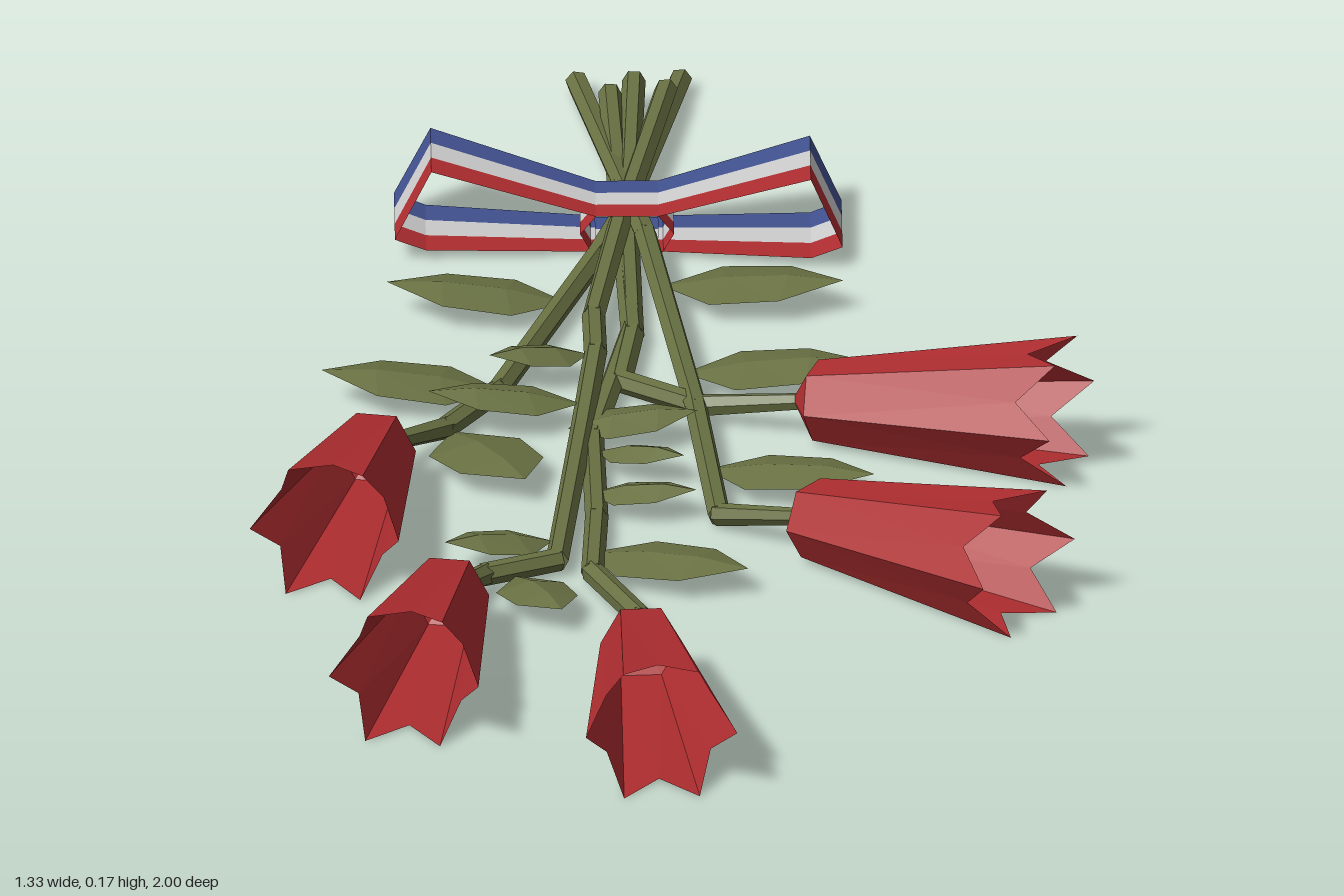
import * as THREE from 'three';

const mat = (name, color) => {
  const m = new THREE.MeshStandardMaterial({ color, side: THREE.DoubleSide, flatShading: true });
  m.name = name;
  return m;
};

// Faceted surface from a list of quads or triangles, each an array of [x, y, z]
function facets(faces) {
  const pos = [];
  for (const f of faces) {
    for (let i = 1; i < f.length - 1; i++) pos.push(...f[0], ...f[i], ...f[i + 1]);
  }
  const g = new THREE.BufferGeometry();
  g.setAttribute('position', new THREE.Float32BufferAttribute(pos, 3));
  g.computeVertexNormals();
  return g;
}

function mesh(name, geometry, material) {
  const m = new THREE.Mesh(geometry, material);
  m.name = name;
  return m;
}

// Six-sided open cup along +z with pointed petals
function flowerGeometry(length) {
  const at = (r, k, z) => [r * Math.cos(k * Math.PI / 3), r * Math.sin(k * Math.PI / 3), z];
  const faces = [];
  for (let k = 0; k < 6; k++) {
    const a = at(0.052, k, 0.03), b = at(0.052, k + 1, 0.03);
    const tipA = at(0.097, k, length), tipB = at(0.097, k + 1, length);
    const notch = at(0.077, k + 0.5, length - 0.052);
    faces.push([[0, 0, 0], b, a]);
    faces.push([a, notch, tipA], [a, b, notch], [b, tipB, notch]);
  }
  return facets(faces);
}

// Pointed leaf along +z, raised along its midrib
function leafGeometry(length, width) {
  const rib = [[0, 0, 0], [0, 0.012, length * 0.35], [0, 0.014, length * 0.7], [0, 0.006, length]];
  const faces = [];
  for (const s of [-1, 1]) {
    const e1 = [s * width * 0.46, 0, length * 0.3];
    const e2 = [s * width * 0.42, 0.002, length * 0.68];
    const list = [[rib[0], e1, rib[1]], [rib[1], e1, e2, rib[2]], [rib[2], e2, rib[3]]];
    for (const f of list) faces.push(s > 0 ? f.reverse() : f);
  }
  return facets(faces);
}

// One lengthwise stripe of a ribbon; profile points are [x, y, centre z, half width]
function stripeGeometry(profile, from, to) {
  const faces = [];
  for (let i = 0; i < profile.length - 1; i++) {
    const [x1, y1, c1, w1] = profile[i], [x2, y2, c2, w2] = profile[i + 1];
    faces.push([[x1, y1, c1 + w1 * from], [x1, y1, c1 + w1 * to], [x2, y2, c2 + w2 * to], [x2, y2, c2 + w2 * from]]);
  }
  return facets(faces);
}

// Straight six-sided rods following a list of points
function stem(points, material) {
  const g = new THREE.Group();
  g.name = 'stem';
  for (let i = 0; i < points.length - 1; i++) {
    const a = new THREE.Vector3(...points[i]), b = new THREE.Vector3(...points[i + 1]);
    const d = b.clone().sub(a), last = i === points.length - 2;
    const rod = mesh('stemSection', new THREE.CylinderGeometry(last ? 0.011 : 0.015, 0.015, d.length() + 0.006, 6), material);
    rod.position.copy(a).add(b).multiplyScalar(0.5);
    rod.quaternion.setFromUnitVectors(new THREE.Vector3(0, 1, 0), d.normalize());
    g.add(rod);
  }
  return g;
}

export function createModel() {
  const model = new THREE.Group();
  model.name = 'bouquet';
  const red = mat('red', 0xae2d30), white = mat('white', 0xcccccc), blue = mat('blue', 0x41518f);
  const green = mat('green', 0x697143);

  // Flowers: base x, z and mouth x, z
  const flowers = [
    [-0.24, -0.07, -0.475, 0.22],
    [-0.365, 0.365, -0.595, 0.665],
    [-0.225, 0.61, -0.38, 0.965],
    [0.12, 0.375, 0.282, 0.72],
    [0.285, 0.065, 0.55, 0.33],
  ];
  for (const [bx, bz, mx, mz] of flowers) {
    const f = mesh('flower', flowerGeometry(Math.hypot(mx - bx, mz - bz)), red);
    f.position.set(bx, 0.051, bz);
    f.lookAt(mx, 0.085, mz);
    model.add(f);
  }

  // Stems, from the cut end to the flower
  const stems = [
    [[0.65, 0.016, -0.935], [0.4, 0.02, -0.61], [0.3, 0.02, -0.5], [0, 0.018, -0.2], [-0.12, 0.022, -0.12], [-0.25, 0.05, -0.06]],
    [[0.6, 0.035, -0.88], [0.36, 0.036, -0.55], [0.2, 0.03, -0.32], [0.15, 0.03, -0.22], [0.03, 0.025, -0.03], [-0.18, 0.02, 0.3], [-0.285, 0.022, 0.3], [-0.375, 0.05, 0.375]],
    [[0.575, 0.036, -0.92], [0.38, 0.025, -0.57], [0.24, 0.016, -0.29], [0.04, 0.016, -0.02], [-0.07, 0.016, 0.2], [-0.155, 0.018, 0.35], [-0.17, 0.022, 0.51], [-0.23, 0.05, 0.62]],
    [[0.53, 0.016, -0.99], [0.37, 0.036, -0.5], [0.19, 0.025, -0.02], [0.07, 0.018, 0.27], [0.125, 0.05, 0.385]],
    [[0.53, 0.036, -0.9], [0.36, 0.016, -0.54], [0.23, 0.018, -0.27], [0.15, 0.018, -0.15], [0.2, 0.022, -0.03], [0.295, 0.05, 0.075]],
  ];
  for (const points of stems) model.add(stem(points, green));

  // Leaves: base x, z, tip x, z, width, base height
  const leaves = [
    [0.2, -0.39, 0, -0.51, 0.12, 0.02],
    [0, -0.19, -0.2, -0.31, 0.13, 0.02],
    [0.33, -0.38, 0.52, -0.24, 0.13, 0.02],
    [0.23, -0.13, 0.43, -0.01, 0.13, 0.02],
    [0.12, 0.14, 0.28, 0.3, 0.12, 0.018],
    [-0.13, 0.29, 0.005, 0.475, 0.13, 0.015],
    [-0.16, 0.25, -0.31, 0.235, 0.09, 0.022],
    [-0.245, 0.31, -0.265, 0.475, 0.1, 0.015],
    [-0.11, -0.12, -0.12, 0.1, 0.14, 0.015],
    [0.06, -0.09, -0.12, -0.17, 0.1, 0.03],
    [0.14, -0.22, 0, -0.23, 0.08, 0.03],
    [0.02, -0.05, 0.17, 0.025, 0.1, 0.02],
    [-0.05, 0.14, 0.055, 0.24, 0.08, 0.02],
    [0.02, 0.03, 0.09, 0.14, 0.07, 0.02],
  ];
  for (const [bx, bz, tx, tz, width, y] of leaves) {
    const l = mesh('leaf', leafGeometry(Math.hypot(tx - bx, tz - bz), width), green);
    l.position.set(bx, y, bz);
    l.lookAt(tx, y + 0.018, tz);
    model.add(l);
  }

  // Striped bow: two slanting loops and a band round the stems
  const bow = new THREE.Group();
  bow.name = 'bow';
  bow.position.set(0.38, 0, -0.57);
  bow.rotation.y = -0.477;
  const loop = (s, top, end, shift) => [
    [s * 0.04, 0.055, 0, 0.055], [s * top, 0.1, shift - 0.025, 0.068], [s * end, 0.03, shift + 0.025, 0.072],
    [s * (end - 0.04), 0.014, shift + 0.025, 0.07], [s * 0.04, 0.006, 0, 0.055],
  ];
  const band = [[-0.045, 0.004], [-0.06, 0.03], [-0.04, 0.055], [0.04, 0.055], [0.06, 0.03], [0.045, 0.004], [-0.045, 0.004]]
    .map(([x, y]) => [x, y, 0, 0.055]);
  const parts = { leftLoop: loop(1, 0.235, 0.275, 0), rightLoop: loop(-1, 0.25, 0.297, -0.028), knot: band };
  for (const [name, profile] of Object.entries(parts)) {
    [blue, white, red].forEach((m, i) => {
      bow.add(mesh(name + 'Stripe', stripeGeometry(profile, -1 + i * 2 / 3, -1 + (i + 1) * 2 / 3), m));
    });
  }
  model.add(bow);
  return model;
}
